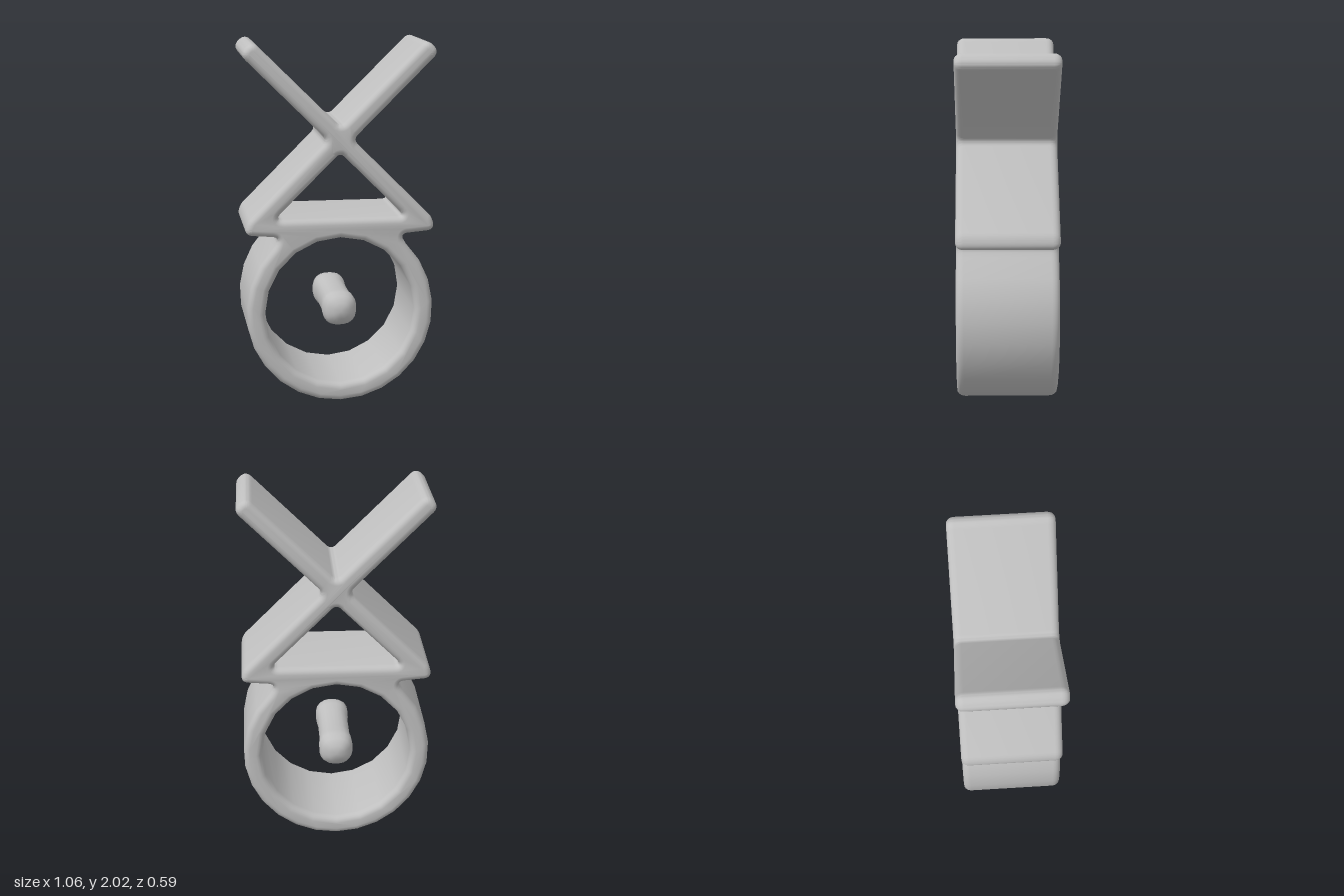
import * as THREE from 'three';
import { toCreasedNormals } from 'three/addons/utils/BufferGeometryUtils.js';

const RING_Y = 0.525;

// Adds corners [x, y, cut] to a path, rounding each one over the length "cut".
function addRounded(path, prev, corners, next) {
  corners.forEach(([x, y, cut], i) => {
    const c = new THREE.Vector2(x, y);
    const a = new THREE.Vector2(...(corners[i - 1] || prev).slice(0, 2));
    const b = new THREE.Vector2(...(corners[i + 1] || next).slice(0, 2));
    const p = a.sub(c).setLength(cut).add(c);
    const q = b.sub(c).setLength(cut).add(c);
    if (i === 0 && path.curves.length === 0) path.moveTo(p.x, p.y);
    else path.lineTo(p.x, p.y);
    path.quadraticCurveTo(x, y, q.x, q.y);
  });
  path.closePath();
}

// Ring, triangle and crossed arms share one outline with soft edges.
function frameGeometry() {
  const shape = new THREE.Shape();
  shape.absarc(0, RING_Y, 0.525, Math.PI * 0.75, Math.PI * 0.25, false);
  const right = [
    [0.335, 0.955, 0.045], // neck above the ring
    [0.535, 0.972, 0.05], // foot of the lower arm
    [0.515, 1.046, 0.025],
    [0.071, 1.49, 0.04], // side of the crossing
    [0.546, 1.963, 0.049], // tip of the upper arm
    [0.476, 2.033, 0.049],
  ];
  const left = right.map(([x, y, c]) => [-x, y, c]).reverse();
  const s = 0.525 * Math.SQRT1_2;
  addRounded(shape, [s, RING_Y + s], [...right, [0, 1.561, 0.04], ...left], [-s, RING_Y + s]);

  const ringHole = new THREE.Path();
  ringHole.absarc(0, RING_Y, 0.42, 0, Math.PI * 2, true);
  const triangleHole = new THREE.Path();
  const tri = [[0, 1.419, 0.035], [0.364, 1.055, 0.05], [-0.364, 1.055, 0.05]];
  addRounded(triangleHole, tri[2], tri, tri[0]);
  shape.holes.push(ringHole, triangleHole);

  const geometry = new THREE.ExtrudeGeometry(shape, {
    depth: 0.48, curveSegments: 10, bevelEnabled: true, bevelSegments: 5,
    bevelThickness: 0.043, bevelSize: 0.035, bevelOffset: -0.035,
  });
  geometry.translate(0, 0, -0.24);
  return toCreasedNormals(geometry, 0.8);
}

// Free pin with rounded, slightly wider ends and a softly squared section.
function pinGeometry() {
  const end = [[0, 0.293], [0.045, 0.284], [0.08, 0.258], [0.095, 0.22], [0.094, 0.17], [0.087, 0.1]];
  const profile = [
    ...end.map(([r, z]) => new THREE.Vector2(r, -z)),
    ...end.slice().reverse().map(([r, z]) => new THREE.Vector2(r, z)),
  ];
  const geometry = new THREE.LatheGeometry(profile, 24);
  geometry.rotateX(Math.PI / 2);
  const pos = geometry.attributes.position;
  for (let i = 0; i < pos.count; i++) {
    const angle = Math.atan2(pos.getY(i), pos.getX(i));
    const k = 1.04 - 0.04 * Math.cos(4 * angle);
    pos.setXY(i, pos.getX(i) * k, pos.getY(i) * k);
  }
  geometry.computeVertexNormals();
  return toCreasedNormals(geometry, 1);
}

export function createModel() {
  const grey = new THREE.MeshStandardMaterial({ color: 0xc0c0c0 });
  grey.name = 'light grey';
  const model = new THREE.Group();
  model.name = 'crossedRingFigure';

  const frame = new THREE.Mesh(frameGeometry(), grey);
  frame.name = 'ringAndCrossedArms';
  const pin = new THREE.Mesh(pinGeometry(), grey);
  pin.name = 'centrePin';
  pin.position.y = 0.53;

  model.add(frame, pin);
  return model;
}
